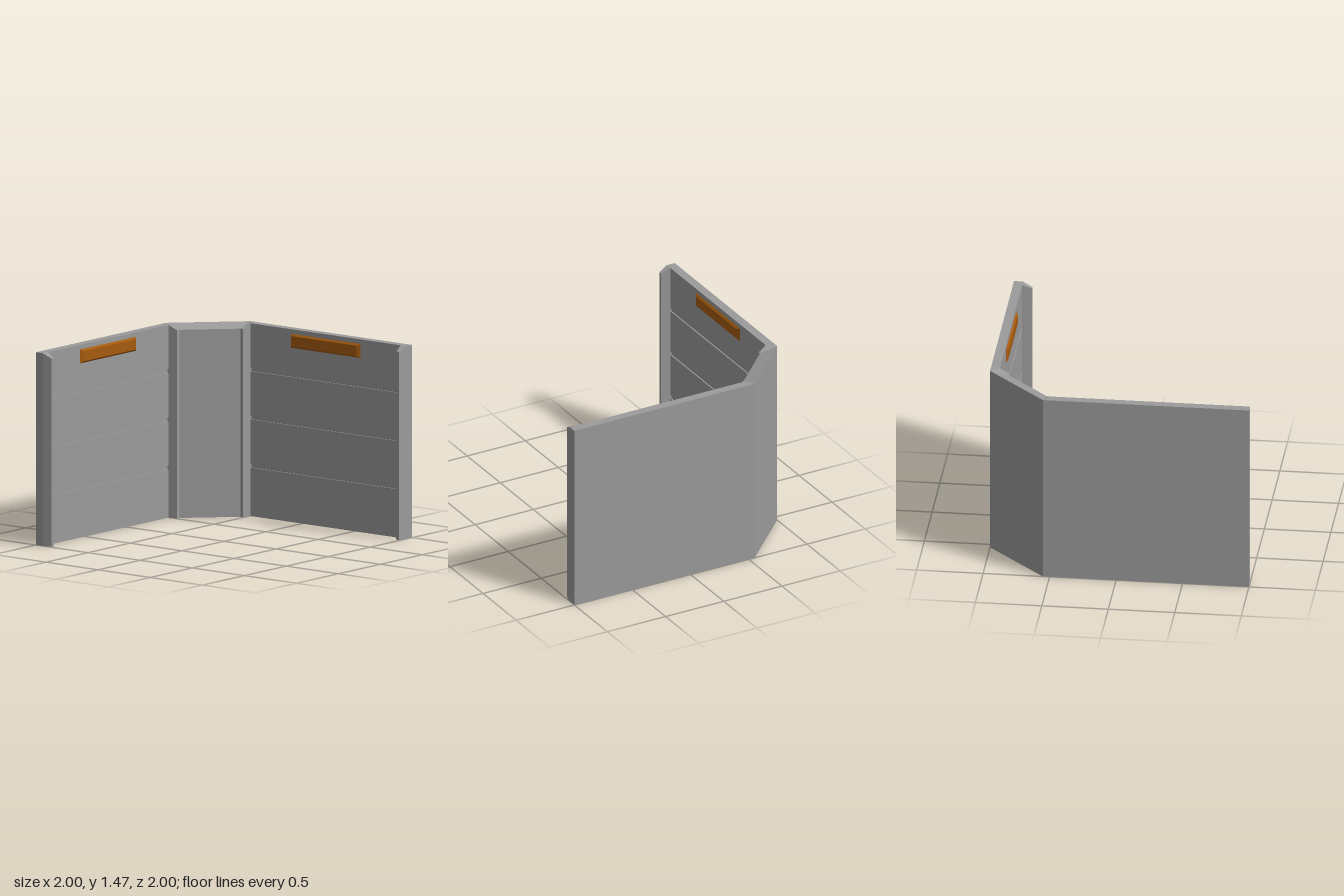
import * as THREE from 'three';

const H = 1.465;      // wall height
const DROP = 0.035;   // how far the bevelled tops fall
const FACE = -0.932;  // inner face of the back wall
const TIP = -0.86;    // inner end of the posts
const grey = new THREE.MeshStandardMaterial({ color: 0x9b9b9b, flatShading: true });
const orange = new THREE.MeshStandardMaterial({ color: 0xa45a0e, flatShading: true });

// Upright prism over plan points [x, z]; fall(x, z) from 0 to 1 lowers the top.
function prism(points, fall) {
  const shape = new THREE.Shape(points.map(([x, z]) => new THREE.Vector2(x, -z)));
  const geo = new THREE.ExtrudeGeometry(shape, { depth: H, bevelEnabled: false });
  geo.rotateX(-Math.PI / 2);
  const p = geo.attributes.position;
  for (let i = 0; i < p.count; i++) {
    if (p.getY(i) > H / 2) {
      p.setY(i, H - DROP * THREE.MathUtils.clamp(fall(p.getX(i), p.getZ(i)), 0, 1));
    }
  }
  geo.computeVertexNormals();
  return geo;
}

// Panel: side profile with horizontal grooves, drawn along x between the posts.
function panelGeometry(x0, x1) {
  const back = -1, depth = 0.01;
  const pts = [[back, 0], [FACE, 0]];
  for (const y of [0.382, 0.748, 1.115]) {
    pts.push([FACE, y - 0.014], [FACE - depth, y - 0.014], [FACE - depth, y + 0.014], [FACE, y + 0.014]);
  }
  pts.push([FACE, H], [back, H]);
  const shape = new THREE.Shape(pts.map(([z, y]) => new THREE.Vector2(-z, y)));
  const geo = new THREE.ExtrudeGeometry(shape, { depth: x1 - x0, bevelEnabled: false });
  geo.rotateY(Math.PI / 2);      // depth -> x, profile -> -z
  geo.translate(x0, 0, 0);
  return geo;
}

// Lamp: shallow box whose front face is narrower than its back.
function lampGeometry() {
  const geo = new THREE.BoxGeometry(0.67, 0.106, 0.015);
  const p = geo.attributes.position;
  for (let i = 0; i < p.count; i++) {
    if (p.getZ(i) > 0) {
      p.setX(i, p.getX(i) - Math.sign(p.getX(i)) * 0.028);
      p.setY(i, p.getY(i) - Math.sign(p.getY(i)) * 0.014);
    }
  }
  geo.translate(-0.225, 1.377, FACE + 0.0075);
  geo.computeVertexNormals();
  return geo;
}

// Mirror across the diagonal: (x, z) -> (-z, -x), with faces turned back out.
function mirrored(source) {
  const geo = source.index ? source.toNonIndexed() : source.clone();
  const p = geo.attributes.position;
  const a = new THREE.Vector3(), b = new THREE.Vector3(), c = new THREE.Vector3();
  for (let i = 0; i < p.count; i += 3) {
    [a, b, c].forEach((v, k) => v.fromBufferAttribute(p, i + k));
    [a, c, b].forEach((v, k) => p.setXYZ(i + k, -v.z, v.y, -v.x));
  }
  geo.computeVertexNormals();
  return geo;
}

export function createModel() {
  const model = new THREE.Group();
  model.name = 'cornerWall';
  const end = -0.943, bend = 0.495;   // where the panel meets its posts
  const postFall = (x, z) => (z - FACE) / (TIP - FACE);

  // Parts of one wall, mirrored to make the other
  const parts = [
    ['panel', panelGeometry(end, bend), grey],
    ['endBlock', prism([[-1, -1], [-1, FACE], [end, FACE], [end, -1]], postFall), grey],
    ['endPost', prism([[-1, FACE], [-0.985, TIP], [-0.96, TIP], [end, FACE]], postFall), grey],
    ['cornerBlock', prism([[bend, -1], [bend, FACE], [0.55, -1]], postFall), grey],
    ['cornerPost', prism([[bend, FACE], [0.51, TIP], [0.535, TIP], [0.55, -1]], postFall), grey],
    ['lamp', lampGeometry(), orange],
  ];
  const backWall = new THREE.Group();
  backWall.name = 'backWall';
  const leftWall = new THREE.Group();
  leftWall.name = 'leftWall';
  for (const [name, geo, material] of parts) {
    for (const [wall, g] of [[backWall, geo], [leftWall, mirrored(geo)]]) {
      const mesh = new THREE.Mesh(g, material);
      mesh.name = name;
      wall.add(mesh);
    }
  }

  // Diagonal corner, its top sloping down to the inside
  const corner = new THREE.Mesh(
    prism([[0.55, -1], [0.535, TIP], [-TIP, -0.535], [1, -0.55]],
      (x, z) => (1.55 - (x - z)) / 0.155),
    grey);
  corner.name = 'diagonalCorner';

  model.add(backWall, leftWall, corner);
  return model;
}
